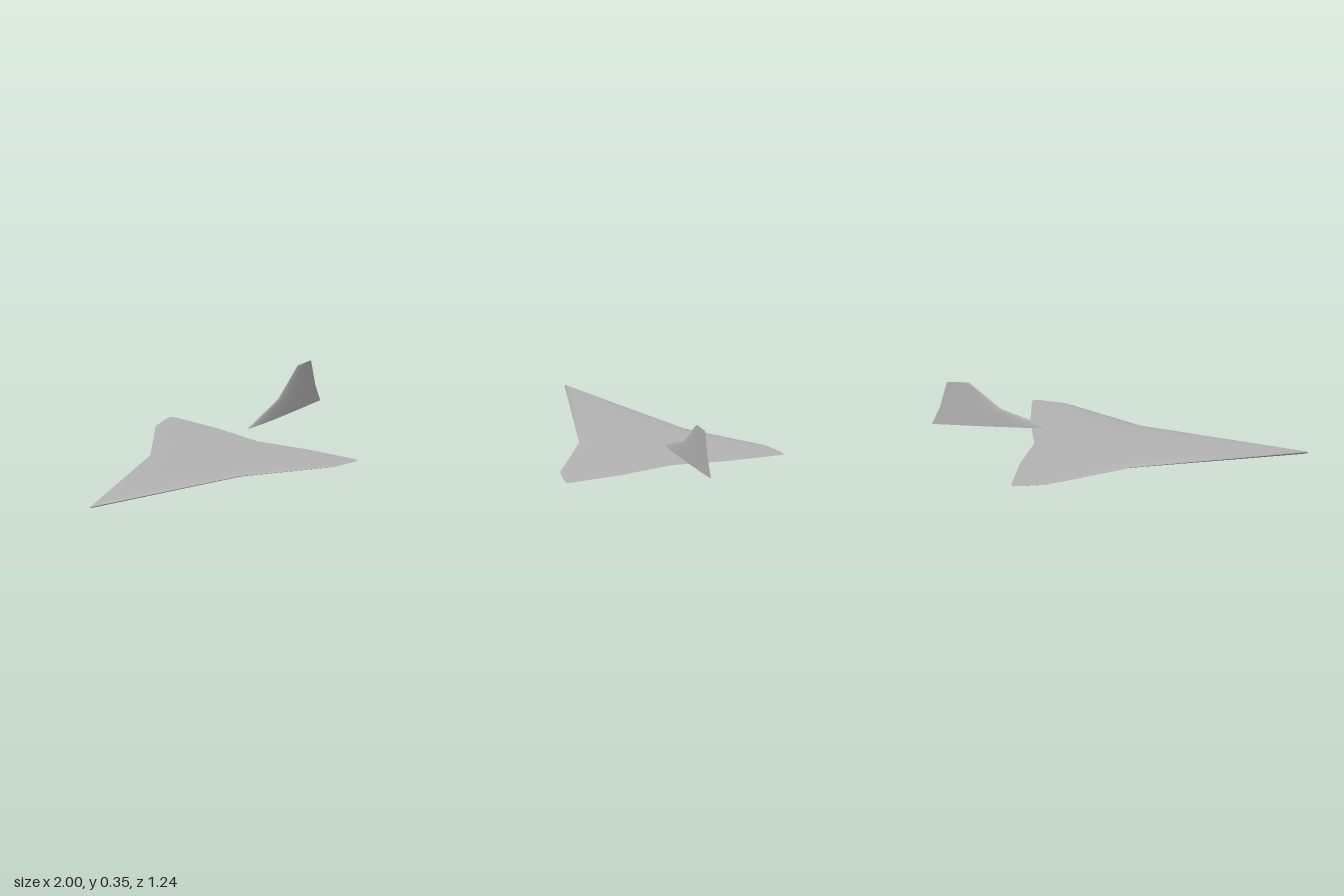
import * as THREE from 'three';

const STEPS = 20;

// Half thickness of a symmetric airfoil at t (0 nose, 1 tail), per unit chord
function halfThickness(t, ratio) {
  return 5 * ratio * (0.2969 * Math.sqrt(t) - 0.126 * t - 0.3516 * t ** 2 + 0.2843 * t ** 3 - 0.1036 * t ** 4);
}

// Loop round one section: tail, upper side, nose, lower side, tail
function sectionLoop([span, nose, tail], ratio, place) {
  const points = [];
  for (let j = -STEPS; j <= STEPS; j++) {
    const t = (j / STEPS) ** 2;
    const half = halfThickness(t, ratio) * (tail - nose) * (j < 0 ? 1 : -1);
    points.push(place(nose + t * (tail - nose), half, span));
  }
  return points;
}

// Skin over airfoil sections [span, nose x, tail x], with both ends closed
function loftAirfoil(sections, ratio, place) {
  const positions = [], indices = [];
  const loops = sections.map((s) => sectionLoop(s, ratio, place));
  const n = 2 * STEPS + 1;
  loops.forEach((loop) => loop.forEach((p) => positions.push(...p)));
  for (let i = 0; i < loops.length - 1; i++) {
    for (let j = 0; j < n - 1; j++) {
      const a = i * n + j, c = a + n;
      indices.push(a, a + 1, c, a + 1, c + 1, c);
    }
  }
  [loops[0], loops[loops.length - 1]].forEach((loop, end) => {
    const base = positions.length / 3;
    loop.forEach((p) => positions.push(...p));
    for (let j = 0; j < STEPS; j++) {
      const u = base + j, l = base + n - 1 - j;
      if (end) indices.push(u, u + 1, l, u + 1, l - 1, l);
      else indices.push(u, l, u + 1, u + 1, l, l - 1);
    }
  });
  const geometry = new THREE.BufferGeometry();
  geometry.setAttribute('position', new THREE.Float32BufferAttribute(positions, 3));
  geometry.setIndex(indices);
  geometry.computeVertexNormals();
  return geometry;
}

export function createModel() {
  const group = new THREE.Group();
  const grey = new THREE.MeshStandardMaterial({ color: 0xb4b4b4 });
  grey.name = 'light grey';

  const add = (name, geometry) => {
    const mesh = new THREE.Mesh(geometry, grey);
    mesh.name = name;
    group.add(mesh);
  };

  // Cranked delta wing, mirrored about its root
  const halfWing = [
    [0.3, -0.085, 0.505],
    [0.59, 0.34, 0.522],
    [0.622, 0.475, 0.518],
  ];
  const wing = [
    ...halfWing.map(([z, a, b]) => [-z, a, b]).reverse(),
    [0, -1, 0.455],
    ...halfWing,
  ];
  add('deltaWing', loftAirfoil(wing, 0.03, (x, half, span) => [x, 0.022 + half, span]));

  // Upright tail fin
  const fin = [
    [0.113, 0.365, 1],
    [0.21, 0.63, 0.957],
    [0.355, 0.803, 0.92],
  ];
  add('tailFin', loftAirfoil(fin, 0.04, (x, half, span) => [x, span, -half]));

  return group;
}
